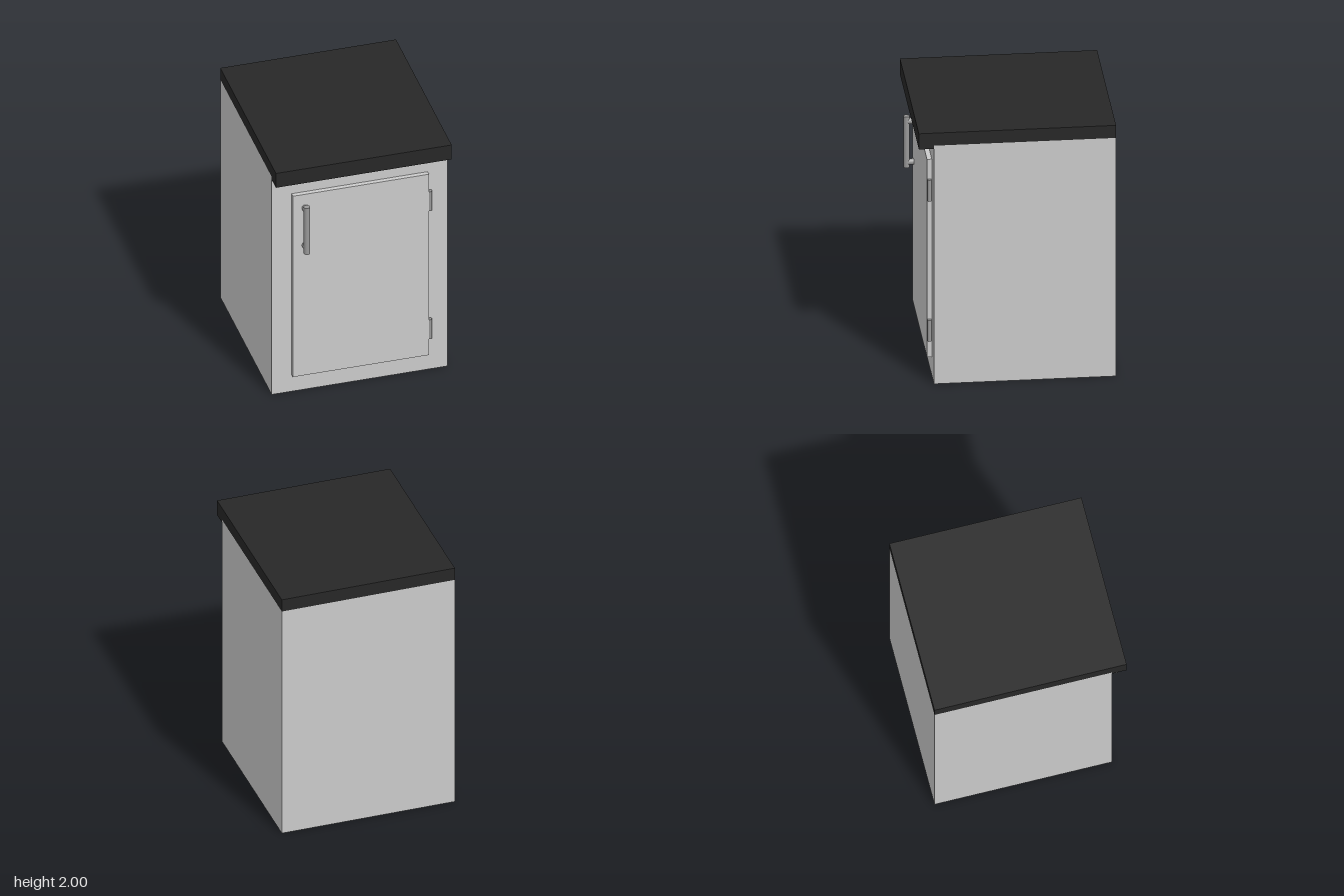
import * as THREE from 'three';

const grey = new THREE.MeshStandardMaterial({ color: 0xcccccc });
const metal = new THREE.MeshStandardMaterial({ color: 0x999999 });
const black = new THREE.MeshStandardMaterial({ color: 0x272727 });

function add(parent, name, geometry, material, x, y, z) {
  const mesh = new THREE.Mesh(geometry, material);
  mesh.name = name;
  mesh.position.set(x, y, z);
  parent.add(mesh);
  return mesh;
}

export function createModel() {
  const model = new THREE.Group();
  model.name = 'cabinet';
  const width = 1.33;

  // Carcass and door
  add(model, 'cabinetBody', new THREE.BoxGeometry(width, 1.9, 1.33), grey, 0, 0.95, -0.055);
  add(model, 'door', new THREE.BoxGeometry(1.03, 1.578, 0.035), grey, 0, 0.936, 0.6275);

  // Countertop: side profile (z, y) with a lip dropping over the front edge
  const profile = new THREE.Shape([
    [-0.72, 1.9], [0.61, 1.9], [0.61, 1.875], [0.72, 1.875], [0.72, 2], [-0.72, 2],
  ].map(([z, y]) => new THREE.Vector2(z, y)));
  const top = new THREE.ExtrudeGeometry(profile, { depth: width, bevelEnabled: false });
  top.translate(0, 0, -width / 2).rotateY(-Math.PI / 2);
  add(model, 'countertop', top, black, 0, 0, 0);

  // Bar handle on two posts
  const handle = new THREE.Group();
  handle.name = 'doorHandle';
  model.add(handle);
  const bar = new THREE.CylinderGeometry(0.023, 0.023, 0.405, 20);
  add(handle, 'handleBar', bar, metal, -0.425, 1.447, 0.697);
  const post = new THREE.CylinderGeometry(0.023, 0.023, 0.052, 20).rotateX(Math.PI / 2);
  for (const y of [1.285, 1.61]) add(handle, 'handlePost', post, metal, -0.425, y, 0.671);

  // Hinge barrels along the door's left edge
  const hinge = new THREE.CylinderGeometry(0.016, 0.016, 0.168, 20);
  for (const y of [0.367, 1.485]) add(model, 'hinge', hinge, metal, 0.526, y, 0.628);

  return model;
}
